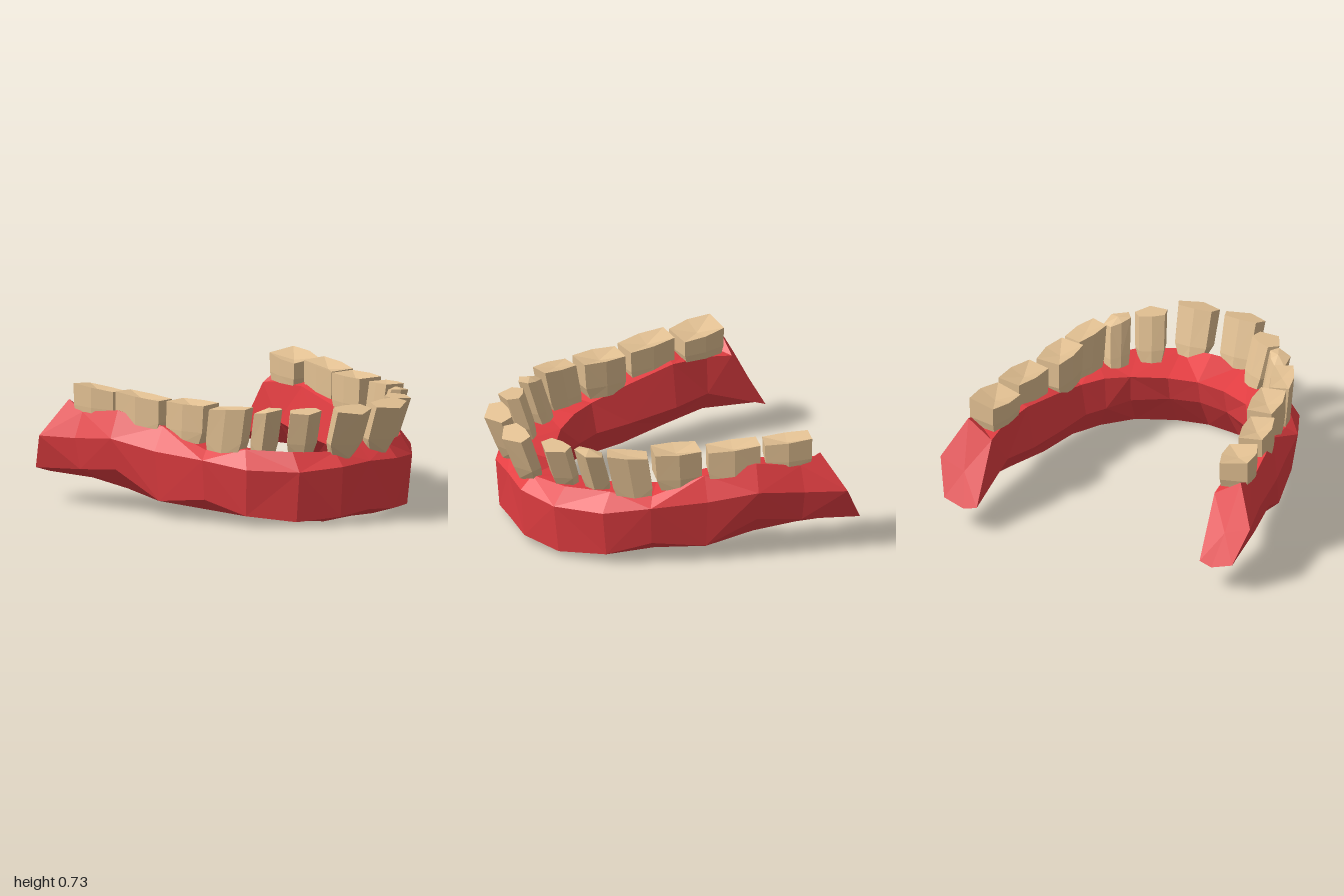
import * as THREE from 'three';

// Skin a list of equal-length rings of [x, y, z], closing both ends (lastDip sinks the final cap's centre)
function loft(rings, lastDip = 0) {
  const pos = [];
  const tri = (...pts) => pts.forEach((p) => pos.push(...p));
  const n = rings[0].length;
  for (let i = 0; i < rings.length - 1; i++) {
    for (let j = 0; j < n; j++) {
      const k = (j + 1) % n;
      const a = rings[i][j], b = rings[i][k], c = rings[i + 1][k], d = rings[i + 1][j];
      if ((i + j) % 2) { tri(a, b, c); tri(a, c, d); } else { tri(a, b, d); tri(b, c, d); }
    }
  }
  const centre = (r) => [0, 1, 2].map((k) => r.reduce((s, p) => s + p[k], 0) / n);
  const first = rings[0], last = rings[rings.length - 1];
  const c0 = centre(first), c1 = centre(last);
  c1[1] -= lastDip;
  for (let j = 0; j < n; j++) {
    const k = (j + 1) % n;
    tri(c0, first[k], first[j]);
    tri(c1, last[j], last[k]);
  }
  const g = new THREE.BufferGeometry();
  g.setAttribute('position', new THREE.Float32BufferAttribute(pos, 3));
  g.computeVertexNormals();
  return g;
}

// Gum stations from the chin backwards: outer x, z, inner x, z,
// heights of crest, shoulder, outer foot and underside, then crest and ledge positions across, ledge height
const STATIONS = [
  [0.00, 0.89, 0.00, 0.57, 0.47, 0.36, 0.07, 0.01, 0.40, 1.00, 0.38],
  [0.22, 0.89, 0.18, 0.54, 0.43, 0.35, 0.05, 0.00, 0.22, 1.00, 0.38],
  [0.46, 0.77, 0.37, 0.42, 0.44, 0.33, 0.03, 0.02, 0.22, 0.97, 0.40],
  [0.67, 0.54, 0.46, 0.28, 0.45, 0.34, 0.06, 0.04, 0.25, 0.90, 0.43],
  [0.78, 0.28, 0.53, 0.15, 0.43, 0.38, 0.14, 0.06, 0.25, 0.85, 0.44],
  [0.85, -0.05, 0.57, -0.08, 0.54, 0.40, 0.10, 0.08, 0.27, 0.85, 0.50],
  [0.93, -0.34, 0.62, -0.38, 0.61, 0.45, 0.26, 0.13, 0.22, 0.85, 0.56],
  [0.95, -0.62, 0.69, -0.60, 0.57, 0.42, 0.23, 0.17, 0.22, 0.90, 0.55],
];
// Sloping rear end of each side
const REAR = [[0.88, 0.63, -0.74], [1.0, 0.41, -0.87], [0.93, 0.2, -0.97],
  [0.80, 0.16, -0.98], [0.72, 0.18, -0.97], [0.72, 0.53, -0.76]];

function gumSection([ox, oz, ix, iz, crest, shoulder, foot, under, across, ledge, ledgeY]) {
  const at = (f, y) => [ox + (ix - ox) * f, y, oz + (iz - oz) * f];
  return [at(across, crest), at(0, shoulder), at(0.04 + 0.12 * ox, foot),
    at(0.53, under), at(Math.min(1, 1.9 - ledge), under * 0.6 + 0.22), at(ledge, ledgeY)];
}

// Six-sided outlines, u along the arch and v outwards
const POINTED = [[-0.5, 0.05], [0, 0.5], [0.5, 0.05], [0.4, -0.42], [0, -0.5], [-0.4, -0.42]];
const BOXY = [[-0.5, 0.38], [0, 0.5], [0.5, 0.38], [0.48, -0.42], [0, -0.5], [-0.48, -0.42]];

// base x/z, turn, top width/depth, foot width/depth, foot and top height,
// lean x/z, top slope along and across the arch, crown dip
const TEETH = [
  { name: 'CentralIncisor', outline: POINTED, x: 0.145, z: 0.805, turn: 0.06, top: [0.26, 0.15], foot: [0.15, 0.13], y: [0.39, 0.685], lean: [0.005, 0.105], slope: [0.02, -0.25], dip: 0 },
  { name: 'LateralIncisor', outline: POINTED, x: 0.345, z: 0.655, turn: 0.5, top: [0.19, 0.15], foot: [0.14, 0.13], y: [0.40, 0.68], lean: [0.035, 0.085], slope: [-0.04, -0.1], dip: 0 },
  { name: 'Canine', outline: POINTED, x: 0.50, z: 0.50, turn: 0.95, top: [0.17, 0.12], foot: [0.14, 0.12], y: [0.40, 0.68], lean: [0.03, 0.08], slope: [-0.18, 0], dip: -0.02 },
  { name: 'FrontPremolar', outline: BOXY, x: 0.63, z: 0.325, turn: 1.25, top: [0.24, 0.14], foot: [0.19, 0.14], y: [0.40, 0.685], lean: [0.005, 0.05], slope: [-0.07, 0], dip: 0.01 },
  { name: 'RearPremolar', outline: BOXY, x: 0.67, z: 0.075, turn: 1.45, top: [0.28, 0.19], foot: [0.22, 0.18], y: [0.46, 0.69], lean: [0, 0.01], slope: [0, 0], dip: 0.03 },
  { name: 'FrontMolar', outline: BOXY, x: 0.755, z: -0.24, turn: 1.38, top: [0.31, 0.18], foot: [0.28, 0.18], y: [0.50, 0.70], lean: [0, 0], slope: [0.09, 0.05], dip: 0.03 },
  { name: 'RearMolar', outline: BOXY, x: 0.79, z: -0.565, turn: 1.36, top: [0.28, 0.21], foot: [0.25, 0.2], y: [0.55, 0.71], lean: [0, 0], slope: [0.1, 0.13], dip: 0.03 },
];

function toothGeometry(t, side) {
  const a = t.turn * side, s = Math.sin(a), c = Math.cos(a);
  const ring = (f, grow) => t.outline.map(([ou, ov]) => {
    const u = ou * (t.foot[0] + (t.top[0] - t.foot[0]) * grow);
    const v = ov * (t.foot[1] + (t.top[1] - t.foot[1]) * grow);
    return [
      side * (t.x + t.lean[0] * f) + u * c + v * s,
      t.y[0] + (t.y[1] - t.y[0]) * f + (t.slope[0] * u * side + t.slope[1] * v) * f,
      t.z + t.lean[1] * f - u * s + v * c,
    ];
  });
  return loft([ring(0, 0), ring(0.3, 0.85), ring(1, 1)], t.dip);
}

export function createModel() {
  const model = new THREE.Group();
  model.name = 'lowerJaw';
  const gumMaterial = new THREE.MeshStandardMaterial({ color: 0xe43e42, flatShading: true });
  const toothMaterial = new THREE.MeshStandardMaterial({ color: 0xe2c092, flatShading: true });

  // Horseshoe gum, swept from the right rear round the front to the left rear
  const half = [...STATIONS.map(gumSection), REAR];
  const mirrored = half.slice(1).reverse().map((r) => r.map(([x, y, z]) => [-x, y, z]));
  const gum = new THREE.Mesh(loft([...mirrored, ...half]), gumMaterial);
  gum.name = 'gum';
  model.add(gum);

  // Seven teeth on each side
  const teeth = new THREE.Group();
  teeth.name = 'teeth';
  for (const side of [-1, 1]) {
    for (const t of TEETH) {
      const tooth = new THREE.Mesh(toothGeometry(t, side), toothMaterial);
      tooth.name = (side > 0 ? 'left' : 'right') + t.name;
      teeth.add(tooth);
    }
  }
  model.add(teeth);
  return model;
}
